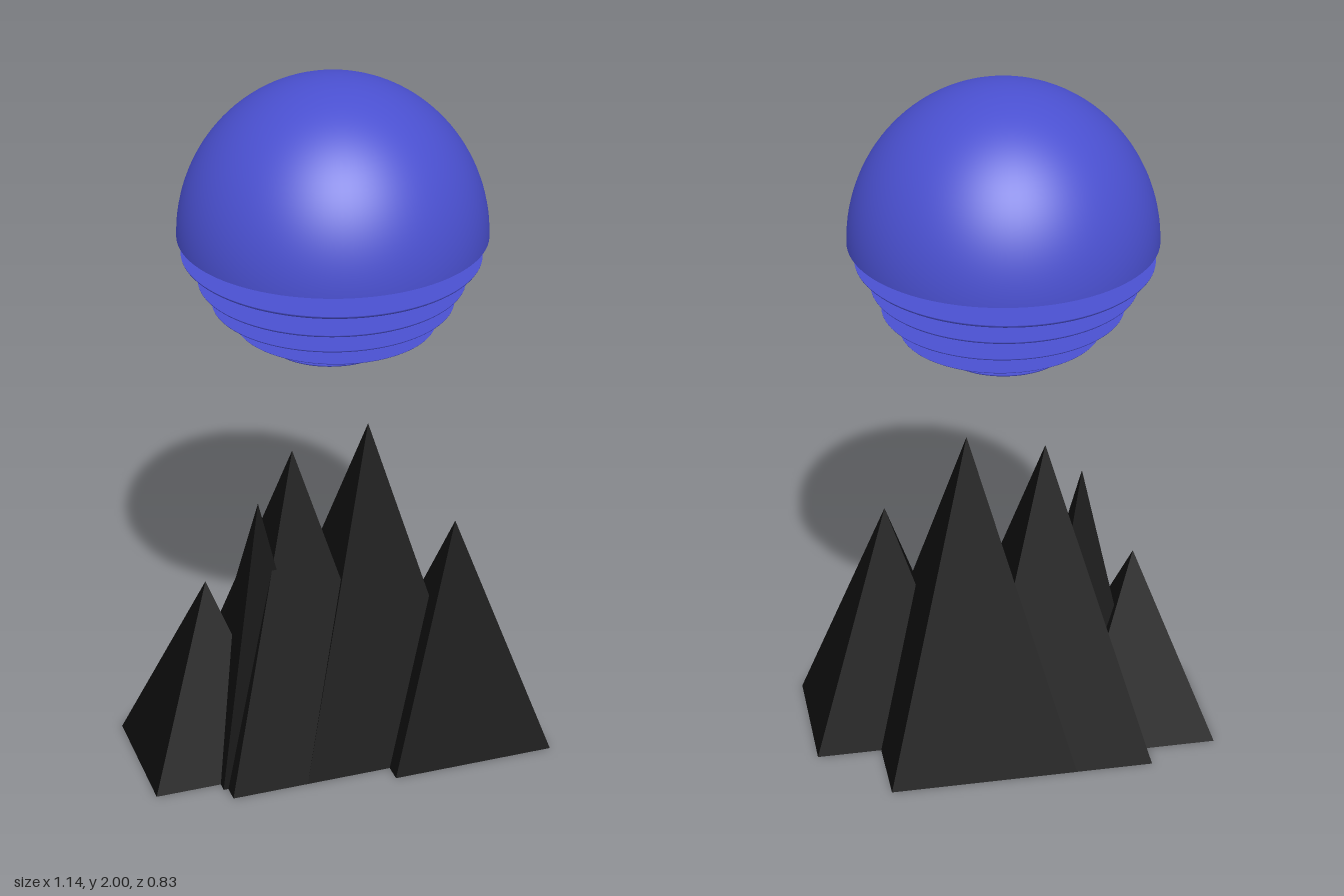
import * as THREE from 'three';

const blue = new THREE.MeshStandardMaterial({ color: 0x4a50d0 });
const black = new THREE.MeshStandardMaterial({ color: 0x0d0d0d, flatShading: true });

// Half ellipsoid with a flat lid; dir = 1 domes upward, -1 bulges downward
function dome(name, dir, [x, y, z], [rx, h, rz]) {
  const group = new THREE.Group();
  group.name = name;
  const start = dir > 0 ? 0 : Math.PI / 2;
  const shell = new THREE.Mesh(
    new THREE.SphereGeometry(1, 96, 32, 0, Math.PI * 2, start, Math.PI / 2), blue);
  shell.name = name + 'Shell';
  const lid = new THREE.Mesh(new THREE.CircleGeometry(1, 96).rotateX(dir * Math.PI / 2), blue);
  lid.name = name + 'Lid';
  group.add(shell, lid);
  group.scale.set(rx, h, rz);
  group.position.set(x, y, z);
  return group;
}

// Four-sided pyramid standing on the ground
function peak(name, x, z, height, halfX, halfZ) {
  const geometry = new THREE.ConeGeometry(Math.SQRT2, 1, 4, 1)
    .rotateY(Math.PI / 4)
    .translate(0, 0.5, 0)
    .scale(halfX, height, halfZ);
  const mesh = new THREE.Mesh(geometry, black);
  mesh.name = name;
  mesh.position.set(x, 0, z);
  return mesh;
}

export function createModel() {
  const model = new THREE.Group();
  model.name = 'sunOverMountains';

  // Sun: upper dome, then shrinking lens-shaped slices below it
  const sun = new THREE.Group();
  sun.name = 'sun';
  sun.add(dome('sunDome', 1, [0.013, 1.567, 0], [0.417, 0.433, 0.417]));
  const slices = [ // x, top y, z, radius x, depth, radius z
    [0.009, 1.516, 0, 0.402, 0.047, 0.417],
    [0.009, 1.438, 0.004, 0.36, 0.038, 0.36],
    [0.014, 1.373, 0, 0.328, 0.031, 0.323],
    [0.022, 1.309, -0.002, 0.272, 0.021, 0.272],
    [0.012, 1.248, -0.01, 0.172, 0.022, 0.164],
  ];
  slices.forEach((s, i) => sun.add(dome('sunSlice' + (i + 1), -1, s.slice(0, 3), s.slice(3))));
  model.add(sun);

  // Mountains: overlapping pyramids
  const mountains = new THREE.Group();
  mountains.name = 'mountains';
  mountains.add(
    peak('tallestPeak', 0.117, 0, 0.976, 0.267, 0.265),
    peak('secondPeak', -0.105, 0, 0.928, 0.265, 0.265),
    peak('narrowPeak', -0.221, 0.05, 0.808, 0.163, 0.166),
    peak('rightFoothill', -0.362, 0, 0.558, 0.21, 0.188),
    peak('leftFoothill', 0.332, 0.131, 0.697, 0.236, 0.187),
  );
  model.add(mountains);
  return model;
}
